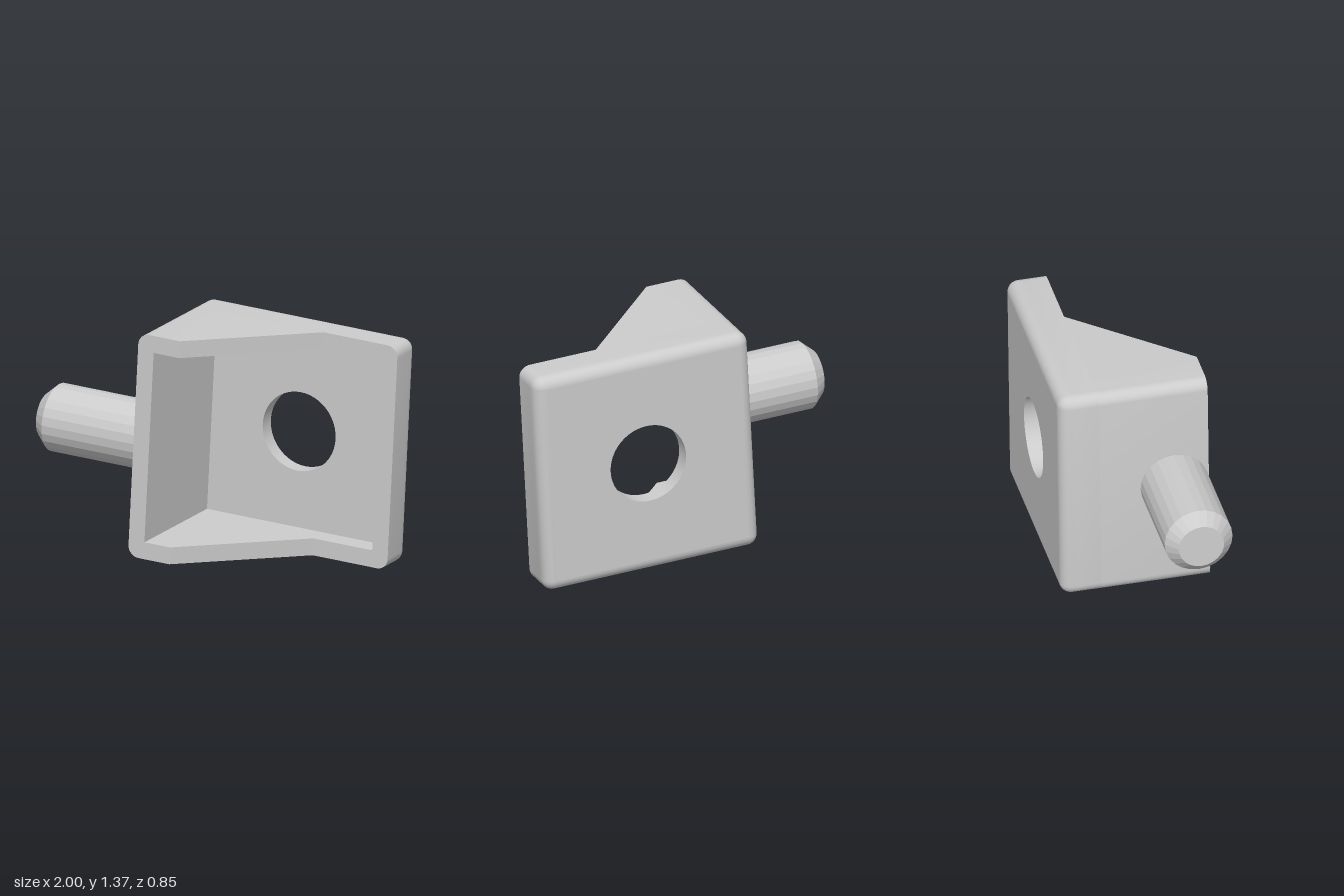
import * as THREE from 'three';
import { toCreasedNormals } from 'three/addons/utils/BufferGeometryUtils.js';

const H = 0.655, INNER = 0.556, R = 0.065;             // outer / inner half size, edge radius
const BACK = -0.428, FLOOR = -0.33, RIM = -0.2, FRONT = 0.425;
const RAMP_A = -0.395, RAMP_B = 0.185;                 // where the side walls start and stop sloping
const STEPS = 8;

// Rounded square outline, counter-clockwise, with the same point count for any radius
function outline(half, r) {
  const pts = [];
  for (let c = 0; c < 4; c++) {
    const mid = Math.PI / 4 + c * Math.PI / 2;
    const cx = Math.sign(Math.cos(mid)) * (half - r), cy = Math.sign(Math.sin(mid)) * (half - r);
    for (let i = 0; i <= STEPS; i++) {
      const a = (c + i / STEPS) * Math.PI / 2;
      pts.push(new THREE.Vector2(cx + r * Math.cos(a), cy + r * Math.sin(a)));
    }
  }
  return pts;
}

// Rounded skin running from the back face round to the straight sides
function edgeSkin() {
  const pos = [], idx = [], rings = [];
  for (let i = 0; i <= STEPS; i++) {
    const a = (i / STEPS) * Math.PI / 2;
    const inset = R * (1 - Math.sin(a));
    rings.push([outline(H - inset, R - inset), BACK + R * (1 - Math.cos(a))]);
  }
  rings.push([outline(H, R), FLOOR]);
  const n = rings[0][0].length;
  rings.forEach(([pts, z]) => pts.forEach((p) => pos.push(p.x, p.y, z)));
  for (let k = 0; k < rings.length - 1; k++) {
    for (let j = 0; j < n; j++) {
      const a = k * n + j, b = k * n + (j + 1) % n;
      idx.push(a, b, b + n, a, b + n, a + n);
    }
  }
  const g = new THREE.BufferGeometry();
  g.setAttribute('position', new THREE.Float32BufferAttribute(pos, 3));
  g.setIndex(idx);
  return toCreasedNormals(g, 0.6);
}

function extrude(shape, z0, z1) {
  const g = new THREE.ExtrudeGeometry(shape, { depth: z1 - z0, bevelEnabled: false, curveSegments: 48 });
  g.translate(0, 0, z0);
  return toCreasedNormals(g, 0.6);
}

function square(half) {
  return [[-half, -half], [half, -half], [half, half], [-half, half]].map(([x, y]) => new THREE.Vector2(x, y));
}

export function createModel() {
  const model = new THREE.Group();
  model.name = 'shelfSupport';
  const mat = new THREE.MeshStandardMaterial({ color: 0xcccccc });
  const add = (name, geo, material = mat) => {
    const m = new THREE.Mesh(geo, material);
    m.name = name;
    model.add(m);
    return m;
  };

  // Back plate with the screw hole
  const plate = new THREE.Shape(square(H - R));
  const hole = new THREE.Path();
  hole.absarc(-0.003, 0.003, 0.23, 0, Math.PI * 2, true);
  plate.holes.push(hole);
  add('backPlate', extrude(plate, BACK, FLOOR));
  add('roundedBackEdge', edgeSkin());

  // Low rim all the way round the plate
  const rim = new THREE.Shape(outline(H, R));
  rim.holes.push(new THREE.Path(square(INNER).reverse()));
  add('rim', extrude(rim, FLOOR, RIM));

  // Full-height C-shaped wall on the stud side
  const left = outline(H, R).filter((p) => p.x < 0);
  const wall = new THREE.Shape([
    new THREE.Vector2(RAMP_A, H), ...left, new THREE.Vector2(RAMP_A, -H),
    new THREE.Vector2(RAMP_A, -INNER), new THREE.Vector2(-INNER, -INNER),
    new THREE.Vector2(-INNER, INNER), new THREE.Vector2(RAMP_A, INNER),
  ]);
  add('studWall', extrude(wall, RIM, FRONT));

  // Sloping gussets at top and bottom
  const wedge = new THREE.Shape([
    new THREE.Vector2(RAMP_A, -RIM), new THREE.Vector2(RAMP_A, -FRONT), new THREE.Vector2(RAMP_B, -RIM),
  ]);
  for (const [name, y] of [['topGusset', INNER], ['bottomGusset', -H]]) {
    const g = extrude(wedge, 0, H - INNER);
    g.rotateX(-Math.PI / 2);                           // profile lies in x-z, thickness runs up
    g.translate(0, y, 0);
    add(name, g);
  }

  // Chamfered stud
  const profile = [[0.195, 0.6], [0.195, 1.237], [0.13, 1.307], [0, 1.307]].map(([x, y]) => new THREE.Vector2(x, y));
  const studMat = new THREE.MeshStandardMaterial({ color: 0xcccccc, flatShading: true });
  const stud = add('stud', new THREE.LatheGeometry(profile, 24), studMat);
  stud.rotation.z = Math.PI / 2;
  stud.position.z = 0.227;

  // The whole bracket leans by three degrees
  model.rotation.z = -Math.PI / 60;
  model.position.set(0.315, 0.686, 0);
  const root = new THREE.Group();
  root.add(model);
  return root;
}
